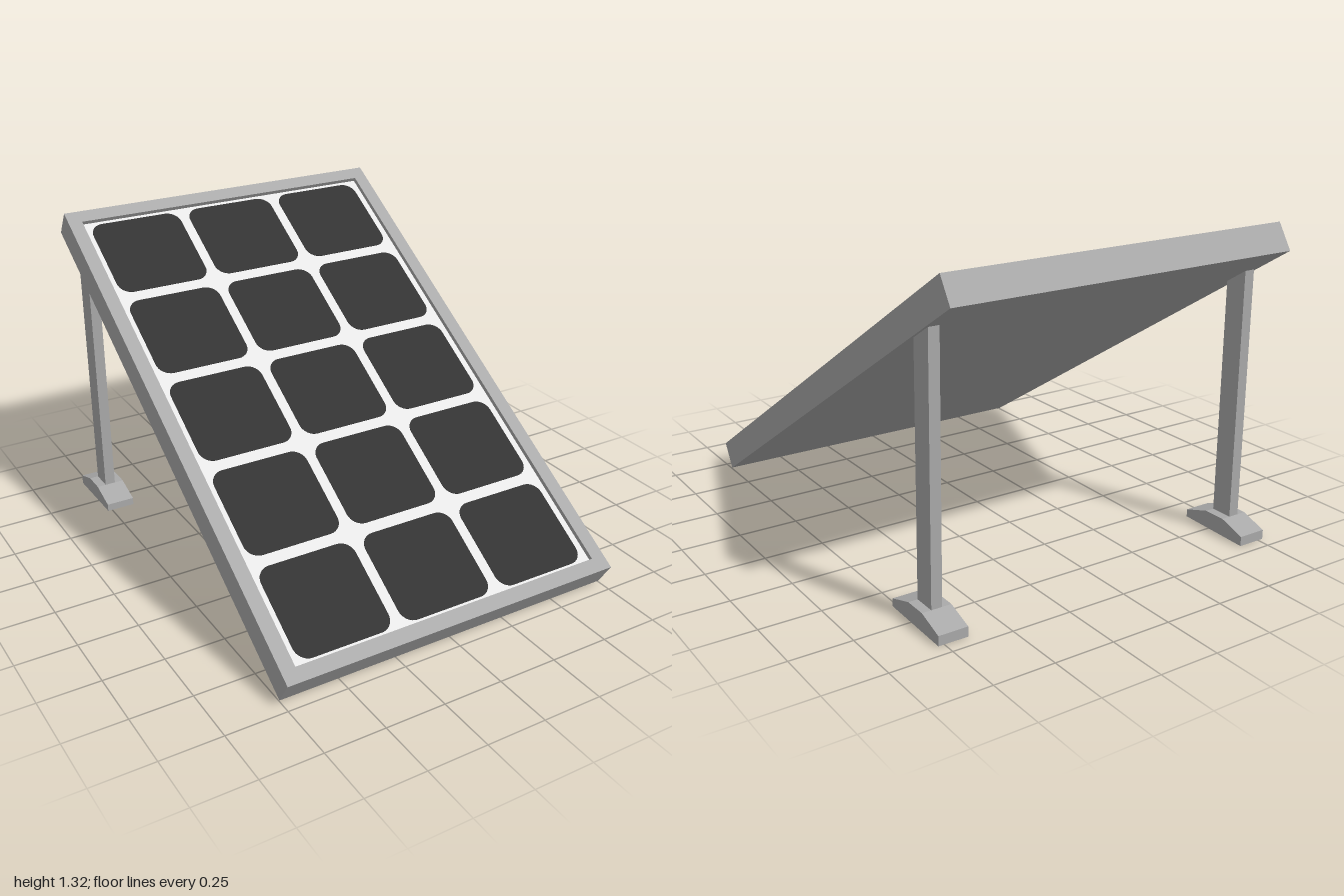
import * as THREE from 'three';

const W = 1.5, L = 2.282, T = 0.119;   // panel width, slope length, thickness
const RIM = 0.06, RECESS = 0.021;      // frame border and depth of the sunken face
const TILT = Math.atan2(1.21, 1.935);

const material = (name, color) => {
  const m = new THREE.MeshStandardMaterial({ color });
  m.name = name;
  return m;
};

function rect(ShapeType, w, h) {
  const s = new ShapeType();
  s.moveTo(-w / 2, -h / 2);
  s.lineTo(w / 2, -h / 2);
  s.lineTo(w / 2, h / 2);
  s.lineTo(-w / 2, h / 2);
  s.closePath();
  return s;
}

function roundedRect(w, h, r) {
  const s = new THREE.Shape(), x = w / 2 - r, y = h / 2 - r;
  s.absarc(x, y, r, 0, Math.PI / 2);
  s.absarc(-x, y, r, Math.PI / 2, Math.PI);
  s.absarc(-x, -y, r, Math.PI, Math.PI * 1.5);
  s.absarc(x, -y, r, Math.PI * 1.5, Math.PI * 2);
  s.closePath();
  return s;
}

// Flat slab lying in the xz plane, growing upwards from y = 0
const slab = (shape, depth) =>
  new THREE.ExtrudeGeometry(shape, { depth, bevelEnabled: false, curveSegments: 4 }).rotateX(-Math.PI / 2);

// Side profile given as [z, y] points, extruded across x and centred on it
function sideProfile(points, width) {
  const shape = new THREE.Shape(points.map(([z, y]) => new THREE.Vector2(z, y)));
  return new THREE.ExtrudeGeometry(shape, { depth: width, bevelEnabled: false })
    .translate(0, 0, -width / 2).rotateY(-Math.PI / 2);
}

export function createModel() {
  const metal = material('frame grey', 0xaaaaaa);
  const white = material('backing light grey', 0xe6e6e6);
  const dark = material('cell charcoal', 0x333333);

  const model = new THREE.Group();
  model.name = 'solarPanel';
  const add = (parent, name, geometry, mat, x = 0, y = 0, z = 0) => {
    const mesh = new THREE.Mesh(geometry, mat);
    mesh.name = name;
    mesh.position.set(x, y, z);
    parent.add(mesh);
  };

  // Tilted panel
  const panel = new THREE.Group();
  panel.name = 'panel';
  panel.position.y = 0.66;
  panel.rotation.x = TILT;
  model.add(panel);

  const face = T / 2 - RECESS;
  add(panel, 'panelBase', slab(rect(THREE.Shape, W, L), T - RECESS), metal, 0, -T / 2);
  const rim = rect(THREE.Shape, W, L);
  rim.holes.push(rect(THREE.Path, W - 2 * RIM, L - 2 * RIM));
  add(panel, 'frameRim', slab(rim, RECESS), metal, 0, face);
  add(panel, 'backingSheet', slab(rect(THREE.Shape, W - 2 * RIM, L - 2 * RIM), 0.002), white, 0, face);

  // Grid of cells
  const cell = slab(roundedRect(0.412, 0.388, 0.058), 0.002);
  for (let row = -2; row <= 2; row++)
    for (let col = -1; col <= 1; col++)
      add(panel, 'cell', cell, dark, col * 0.456, face + 0.002, row * 0.436);

  // Rear legs, cut to the slope of the panel, on wedge-shaped feet
  const leg = sideProfile([[-0.835, 0.01], [-0.74, 0.01], [-0.74, 1.056], [-0.835, 1.116]], 0.045);
  const foot = sideProfile([
    [-0.945, 0], [-0.625, 0.008], [-0.625, 0.04], [-0.74, 0.077], [-0.835, 0.077], [-0.945, 0.04],
  ], 0.122);
  for (const [side, x] of [['left', 0.713], ['right', -0.713]]) {
    add(model, side + 'Leg', leg, metal, x);
    add(model, side + 'Foot', foot, metal, x);
  }
  return model;
}
